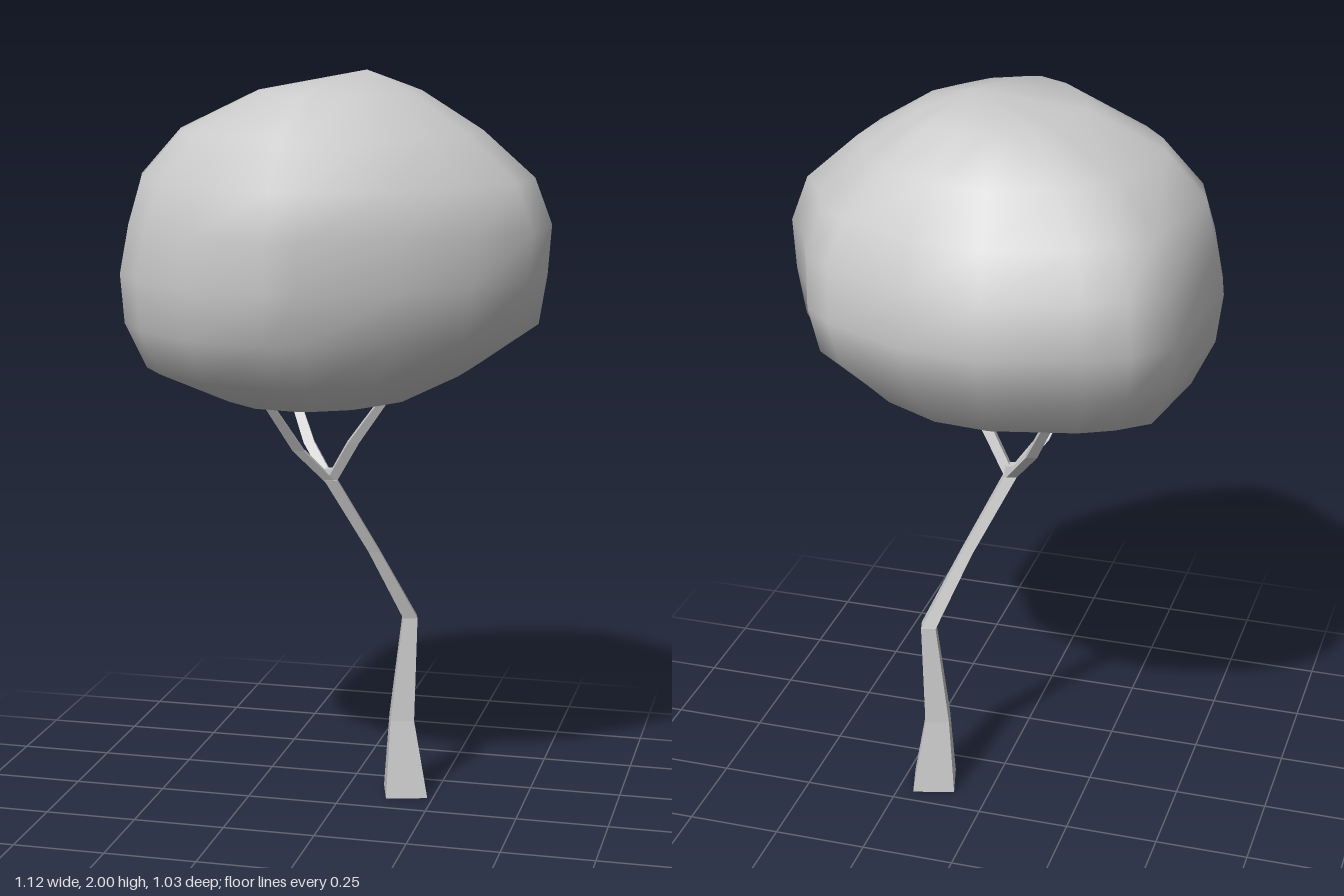
import * as THREE from 'three';

// Skin a stack of closed rings (bottom to top), closing both ends on a centre point
function loft(rings, bottom, top) {
  const n = rings[0].length, index = [];
  const pos = [...rings.flat(), bottom, top];
  const b = rings.length * n, t = b + 1, last = (rings.length - 1) * n;
  for (let j = 0; j < n; j++) {
    const k = (j + 1) % n;
    index.push(b, j, k, t, last + k, last + j);
    for (let i = 0; i < rings.length - 1; i++) {
      const p = i * n + j, q = i * n + k;
      index.push(p, p + n, q, q, p + n, q + n);
    }
  }
  const g = new THREE.BufferGeometry();
  g.setAttribute('position', new THREE.Float32BufferAttribute(pos.flat(), 3));
  g.setIndex(index);
  g.computeVertexNormals();
  return g;
}

// Four-sided limb through [x, y, z, radius] stations
function limb(name, stations, material) {
  const rings = stations.map(([x, y, z, r]) => [0, 1, 2, 3].map(i => {
    const a = 0.52 + i * Math.PI / 2;
    return [x + r * Math.cos(a), y, z + r * Math.sin(a)];
  }));
  const mesh = new THREE.Mesh(
    loft(rings, stations[0].slice(0, 3), stations.at(-1).slice(0, 3)), material);
  mesh.name = name;
  return mesh;
}

export function createModel() {
  const tree = new THREE.Group();
  tree.name = 'tree';
  const bark = new THREE.MeshStandardMaterial({ color: 0xcccccc, flatShading: true });
  const foliage = new THREE.MeshStandardMaterial({ color: 0xcccccc });

  // Bent, tapering trunk
  tree.add(limb('trunk', [
    [0.165, 0.005, -0.14, 0.081], [0.153, 0.22, -0.14, 0.046], [0.173, 0.51, -0.147, 0.028],
    [0.088, 0.71, -0.072, 0.022], [-0.012, 0.92, 0.012, 0.024], [-0.012, 0.95, 0.012, 0.02],
  ], bark));

  // Three branches forking into the crown
  const branches = [
    [[-0.085, 1.01, 0.075], [-0.165, 1.2, 0.2]],
    [[-0.085, 1.01, -0.04], [-0.18, 1.2, -0.14]],
    [[0.055, 1.03, 0.035], [0.17, 1.19, 0.06]],
  ];
  for (const [mid, end] of branches) {
    tree.add(limb('branch', [[-0.012, 0.915, 0.012, 0.02], [...mid, 0.021], [...end, 0.016]], bark));
  }

  // Crown: one irregular plan outline, stretched to each level's extents
  const outline = [
    [-0.08, -0.52], [0.12, -0.5], [0.35, -0.39], [0.43, -0.32], [0.49, -0.17], [0.56, -0.06],
    [0.54, 0.13], [0.42, 0.26], [0.26, 0.41], [0.02, 0.5], [-0.06, 0.515], [-0.28, 0.455],
    [-0.45, 0.31], [-0.53, 0.2], [-0.56, 0.07], [-0.52, -0.3], [-0.43, -0.39], [-0.33, -0.45],
  ];
  // y, -x, +x, -z, +z reach, then fullness of the two -x corners (back, front)
  const levels = [
    [1.15, 0.28, 0.2, 0.2, 0.26, 1, 1.1], [1.23, 0.48, 0.36, 0.37, 0.4, 1, 1.06],
    [1.35, 0.54, 0.53, 0.455, 0.485, 1, 1.03], [1.48, 0.56, 0.55, 0.515, 0.51, 1, 1],
    [1.61, 0.54, 0.56, 0.48, 0.52, 0.99, 0.98], [1.73, 0.515, 0.515, 0.44, 0.5, 0.95, 0.95],
    [1.85, 0.41, 0.38, 0.36, 0.43, 0.88, 0.93], [1.95, 0.2, 0.22, 0.28, 0.27, 0.75, 0.95],
  ];
  const rings = levels.map(([y, xn, xp, zn, zp, back, front]) => outline.map(([x, z]) => {
    const diagonal = Math.abs(2 * x * z) / (x * x + z * z);
    const full = x < 0 ? 1 + ((z < 0 ? back : front) - 1) * diagonal : 1;
    return [full * x * (x < 0 ? xn : xp) / 0.56, y, full * z * (z < 0 ? zn : zp) / 0.517];
  }));
  const crown = new THREE.Mesh(loft(rings, [0.05, 1.122, 0.04], [0.07, 2, -0.05]), foliage);
  crown.name = 'crown';
  tree.add(crown);
  return tree;
}
